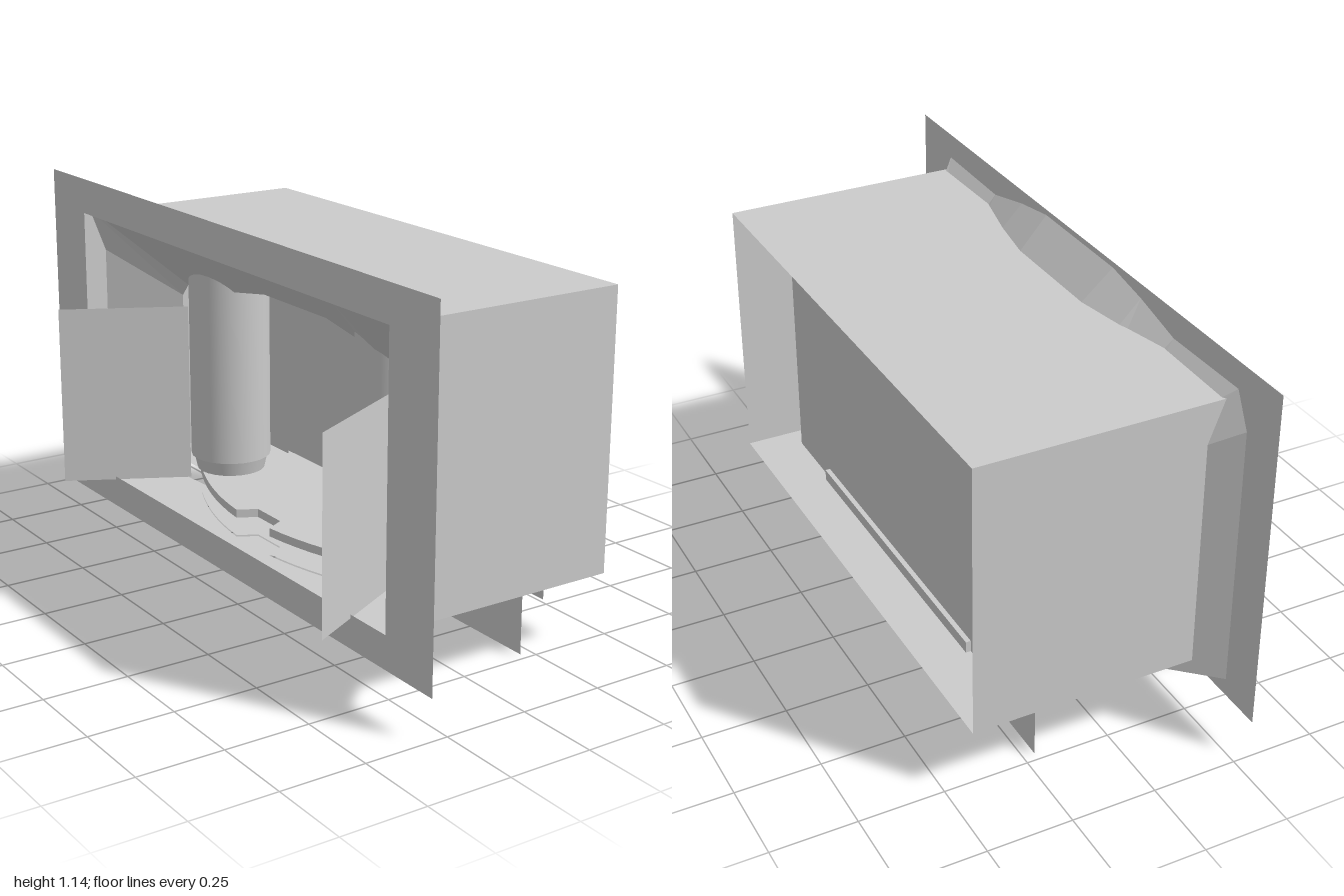
import * as THREE from 'three';

const material = new THREE.MeshStandardMaterial({ color: 0xcccccc, side: THREE.DoubleSide, flatShading: true });
const smooth = new THREE.MeshStandardMaterial({ color: 0xcccccc, side: THREE.DoubleSide });

const toShape = (pts) => new THREE.Shape(pts.map(([a, b]) => new THREE.Vector2(a, b)));
const rect = (a0, b0, a1, b1) => toShape([[a0, b0], [a1, b0], [a1, b1], [a0, b1]]);

// Rounded rectangle path for the window
function roundedRect(a0, b0, a1, b1, r) {
  const p = new THREE.Path();
  p.absarc(a1 - r, b0 + r, r, -Math.PI / 2, 0);
  p.absarc(a1 - r, b1 - r, r, 0, Math.PI / 2);
  p.absarc(a0 + r, b1 - r, r, Math.PI / 2, Math.PI);
  p.absarc(a0 + r, b0 + r, r, Math.PI, Math.PI * 1.5);
  p.closePath();
  return p;
}

export function createModel() {
  const group = new THREE.Group();
  const add = (name, geometry, mat = material) => {
    const mesh = new THREE.Mesh(geometry, mat);
    mesh.name = name;
    group.add(mesh);
  };
  // Upright sheet facing along x, drawn in (z, y)
  const sheetX = (name, shape, x) =>
    add(name, new THREE.ShapeGeometry(shape, 8).rotateY(-Math.PI / 2).translate(x, 0, 0));
  // Level sheet, drawn in (x, z)
  const sheetY = (name, shape, y) =>
    add(name, new THREE.ShapeGeometry(shape).rotateX(Math.PI / 2).translate(0, y, 0));
  // Upright sheet facing along z, drawn in (x, y)
  const sheetZ = (name, shape, z) => add(name, new THREE.ShapeGeometry(shape).translate(0, 0, z));
  // Band of quads between two rows of points
  const band = (name, rowA, rowB) => {
    const pos = [];
    for (let i = 0; i + 1 < rowA.length; i++) {
      pos.push(...rowA[i], ...rowA[i + 1], ...rowB[i + 1], ...rowA[i], ...rowB[i + 1], ...rowB[i]);
    }
    const g = new THREE.BufferGeometry();
    g.setAttribute('position', new THREE.Float32BufferAttribute(pos, 3));
    g.computeVertexNormals();
    add(name, g);
  };
  // Completes a symmetric outline given its +z half
  const mirrorZ = (half) => [...half, ...half.map(([z, y]) => [-z, y]).reverse()];

  // Outer case, open at both ends
  sheetY('caseTop', rect(-0.3, -0.8, 0.44, 0.8), 1.03);
  sheetY('caseFloor', rect(-0.04, -0.8, 0.44, 0.8), 0.215);
  for (const s of [1, -1]) sheetZ('caseSide', rect(-0.3, 0.215, 0.44, 1.03), s * 0.8);

  // Bowed front edge with a small notch, shared by the tray, pan and shelf
  const edge = [];
  for (let i = 0; i <= 9; i++) {
    const z = 0.585 - i * 0.055;
    edge.push([-0.2 + 0.5 * z * z, z]);
  }
  edge.push([-0.14, 0.06]);
  const bow = [...edge, ...edge.map(([x, z]) => [x, -z]).reverse()];
  const innerBow = bow.slice(2, -2);

  // Raised tray
  const tray = toShape([[0.21, 0.585], ...bow, [0.21, -0.585]]);
  add('tray', new THREE.ExtrudeGeometry(tray, { depth: 0.025, bevelEnabled: false })
    .rotateX(Math.PI / 2).translate(0, 0.255, 0));

  // Shallow pan under the floor, with a rail at its rear
  sheetY('panBottom', toShape([[0.3, 0.49], [-0.04, 0.49], ...innerBow, [-0.04, -0.49], [0.3, -0.49]]), 0.175);
  for (const s of [1, -1]) sheetZ('panSide', rect(-0.04, 0.175, 0.3, 0.215), s * 0.49);
  add('panRail', new THREE.BoxGeometry(0.015, 0.075, 0.98).translate(0.2975, 0.2125, 0));

  // Lower shelf between the frame and the pan
  sheetY('shelf', toShape([
    [-0.3, 0.865], [-0.05, 0.635], [-0.04, 0.49], ...innerBow,
    [-0.04, -0.49], [-0.05, -0.635], [-0.3, -0.865],
  ]), 0.17);

  // Front frame around the case opening
  const frame = rect(-1, 0.118, 1, 1.137);
  frame.holes.push(rect(-0.8, 0.215, 0.8, 1.03));
  sheetX('frontFrame', frame, -0.3);

  // Tapering surround that narrows into the case
  const rim = mirrorZ([[0.865, 0.17], [0.865, 0.96], [0.815, 1.06], [0.51, 1.055], [0.34, 1.095], [0.19, 1.12]]);
  const throat = mirrorZ([[0.635, 0.17], [0.635, 0.77], [0.6, 0.81], [0.47, 0.8], [0.34, 0.84], [0.16, 0.87]]);
  band('surround', rim.map(([z, y]) => [-0.3, y, z]), throat.map(([z, y]) => [-0.05, y, z]));

  // Rear panel, and the windowed panel in front of it
  sheetX('rearPanel', rect(-0.725, 0.145, 0.725, 0.937), 0.29);
  const windowed = rect(-0.725, 0, 0.725, 0.937);
  windowed.holes.push(roundedRect(-0.44, 0.08, 0.44, 0.58, 0.07));
  sheetX('windowPanel', windowed, 0.215);

  // Columns with collars, and the splayed wings beside them
  for (const s of [1, -1]) {
    add('column', new THREE.CylinderGeometry(0.123, 0.123, 0.61, 24).translate(0, 0.605, s * 0.44), smooth);
    add('columnCollar', new THREE.CylinderGeometry(0.115, 0.105, 0.045, 24).translate(0, 0.2775, s * 0.44), smooth);
    band('wing',
      [[-0.44, 0.76, s * 0.72], [-0.09, 0.76, s * 0.536]],
      [[-0.44, 0.205, s * 0.72], [-0.09, 0.205, s * 0.536]]);
  }
  return group;
}
